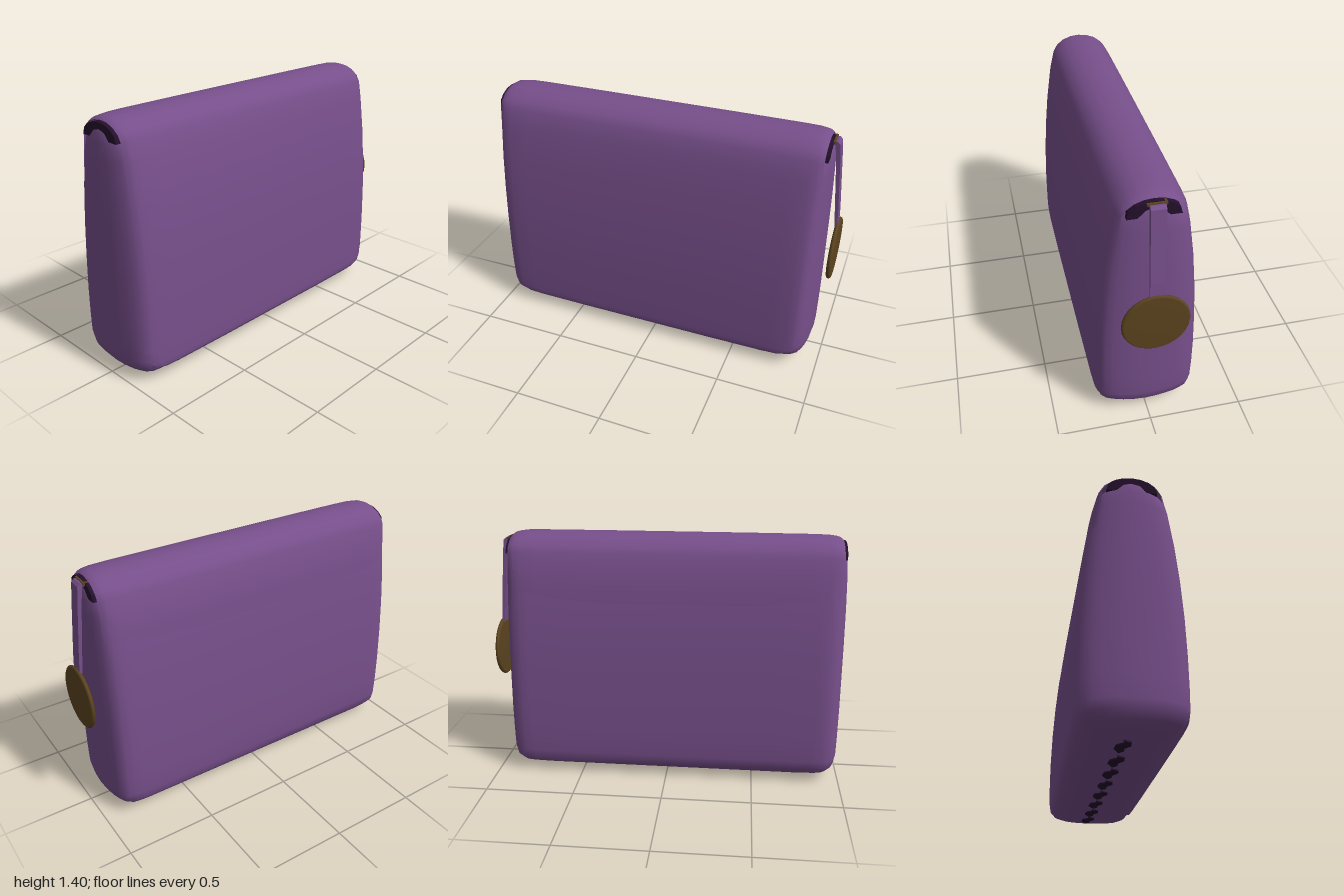
import * as THREE from 'three';

const purple = new THREE.MeshStandardMaterial({ color: 0x774f8b, side: THREE.DoubleSide });
purple.name = 'purple leather';
const lining = new THREE.MeshStandardMaterial({ color: 0x24102c });
lining.name = 'dark lining';
const brass = new THREE.MeshStandardMaterial({ color: 0x5c441f });
brass.name = 'dark brass';

const CX = -0.03; // middle of the pouch, offset by the pull on its left end

// Smooth surface over rows of points; closed joins each row end to its start
function loft(rows, closed, caps) {
  const n = rows[0].length, pos = rows.flat(2), idx = [];
  for (let r = 0; r < rows.length - 1; r++) {
    for (let i = 0; i < (closed ? n : n - 1); i++) {
      const j = (i + 1) % n, a = r * n + i, b = r * n + j;
      idx.push(a, a + n, b, b, a + n, b + n);
    }
  }
  if (caps) {
    caps.forEach((p, k) => {
      const c = pos.length / 3, base = k * (rows.length - 1) * n;
      pos.push(...p);
      for (let i = 0; i < n; i++) {
        const a = base + i, b = base + (i + 1) % n;
        if (k) idx.push(a, c, b); else idx.push(a, b, c);
      }
    });
  }
  const g = new THREE.BufferGeometry();
  g.setAttribute('position', new THREE.Float32BufferAttribute(pos, 3));
  g.setIndex(idx);
  g.computeVertexNormals();
  return g;
}

// Rounded rectangular ring: soft corners and gently bulging ends
function ring([y, w, d]) {
  const q = [[0, 0], [0.004, 0.3], [0.014, 0.55], [0.027, 0.72], [0.043, 0.86], [0.07, 0.955], [0.11, 0.988], [0.16, 1], [0.4, 1]];
  const quarter = q.map(([inset, f]) => [w - inset, f * d]);
  const back = quarter.slice().reverse();
  return [
    ...quarter.map(([x, z]) => [x, y, z]),
    ...back.map(([x, z]) => [-x, y, z]),
    ...quarter.slice(1).map(([x, z]) => [-x, y, -z]),
    ...back.slice(0, -1).map(([x, z]) => [x, y, -z]),
  ];
}

function shapeOf(points) {
  return new THREE.Shape(points.map(([x, y]) => new THREE.Vector2(x, y)));
}

export function createModel() {
  const model = new THREE.Group();
  const add = (name, geometry, material, parent = model) => {
    const m = new THREE.Mesh(geometry, material);
    m.name = name;
    parent.add(m);
    return m;
  };

  // Pouch: height, half width, half depth
  const sections = [
    [0.008, 0.6, 0.06], [0.015, 0.79, 0.12], [0.03, 0.88, 0.185], [0.055, 0.935, 0.228],
    [0.09, 0.96, 0.255], [0.14, 0.969, 0.262], [0.25, 0.97, 0.265], [0.4, 0.97, 0.264],
    [0.6, 0.968, 0.257], [0.8, 0.966, 0.244], [1.0, 0.963, 0.224], [1.2, 0.957, 0.195],
    [1.27, 0.952, 0.175], [1.32, 0.945, 0.13], [1.343, 0.935, 0.085], [1.354, 0.915, 0.035],
  ];
  const body = add('pouchBody', loft(sections.map(ring), true, [[0, 0.004, 0], [0, 1.357, 0]]), purple);
  body.position.x = CX;

  // Flap: from the back, over the top and down the front (z, y, width scale)
  const profile = [
    [-0.222, 1.0], [-0.213, 1.1], [-0.199, 1.2], [-0.172, 1.3], [-0.147, 1.342], [-0.105, 1.375],
    [-0.055, 1.394], [0, 1.4], [0.055, 1.394], [0.105, 1.375], [0.147, 1.342], [0.172, 1.3],
    [0.202, 1.2], [0.231, 1.0], [0.251, 0.8], [0.264, 0.6], [0.27, 0.4], [0.271, 0.2],
    [0.27, 0.12, 0.99], [0.268, 0.09, 0.97], [0.262, 0.074, 0.945], [0.235, 0.064, 0.92],
  ];
  // Half widths with the amount the sheet dips toward each side edge
  const edge = [[0.924, 0.024], [0.91, 0.014], [0.89, 0.008], [0.85, 0.003], [0.76, 0.001], [0.4, 0]];
  const columns = [...edge.map(([x, s]) => [-x, s]), ...edge.slice().reverse()];
  const rows = profile.map(([z, y, w = 1], i) => {
    const a = profile[Math.max(i - 1, 0)], b = profile[Math.min(i + 1, profile.length - 1)];
    const tz = b[0] - a[0], ty = b[1] - a[1], l = Math.hypot(tz, ty);
    const sink = Math.abs(z) > 0.19 ? 1.7 : 1; // the sides melt into the pouch below the top
    return columns.map(([x, s]) => [x * w, y - (tz / l) * s * sink, z + (ty / l) * s * sink]);
  });
  add('flap', loft(rows, false), purple).position.x = CX;

  // Dark gusset showing under the arch of the flap at each end
  const arch = shapeOf([
    [-0.13, 1.285], [0.13, 1.285], [0.12, 1.322], [0.088, 1.348], [0.045, 1.364],
    [0, 1.369], [-0.045, 1.364], [-0.088, 1.348], [-0.12, 1.322],
  ]);
  for (const s of [-1, 1]) {
    const g = new THREE.ExtrudeGeometry(arch, { depth: 0.04, bevelEnabled: false });
    g.translate(0, 0, -0.02).rotateY(Math.PI / 2);
    add(s > 0 ? 'leftGusset' : 'rightGusset', g, lining).position.x = CX + s * 0.919;
  }

  // Row of dark wavy patches along the underside (x, z)
  const patch = shapeOf([
    [-0.085, -0.012], [-0.05, -0.002], [-0.02, -0.035], [0.03, -0.04],
    [0.085, -0.01], [0.06, 0.012], [0.02, 0.01], [-0.02, 0.035], [-0.06, 0.03],
  ]);
  const patchGeo = new THREE.ExtrudeGeometry(patch, { depth: 0.008, bevelEnabled: false }).rotateX(Math.PI / 2);
  for (let k = 0; k < 8; k++) {
    const x = 0.67 - k * 0.2;
    add('undersidePatch', patchGeo, lining).position.set(x, Math.abs(x - CX) > 0.6 ? 0.014 : 0.008, -0.02);
  }

  // Zip pull: slider, hanging strap and round tag
  const pull = new THREE.Group();
  pull.name = 'zipPull';
  pull.position.z = -0.008;
  model.add(pull);
  add('slider', new THREE.BoxGeometry(0.03, 0.014, 0.095), brass, pull).position.set(0.905, 1.357, 0);

  const strap = shapeOf([
    [0.905, 1.356], [0.93, 1.36], [0.945, 1.345], [0.955, 1.25], [0.983, 0.95], [0.99, 0.84],
    [0.978, 0.84], [0.965, 0.95], [0.934, 1.25], [0.92, 1.34], [0.905, 1.34],
  ]);
  const strapGeo = new THREE.ExtrudeGeometry(strap, { depth: 0.074, bevelEnabled: false });
  add('strap', strapGeo.translate(0, 0, -0.037), purple, pull);

  const disc = [[0, -0.012], [0.163, -0.012], [0.171, -0.007], [0.174, 0], [0.171, 0.007], [0.163, 0.012], [0, 0.012]]
    .map(([r, h]) => new THREE.Vector2(r, h));
  const tag = add('roundTag', new THREE.LatheGeometry(disc, 28), brass, pull);
  tag.rotation.z = -Math.PI / 2;
  tag.position.set(0.988, 0.706, 0.002);

  return model;
}
